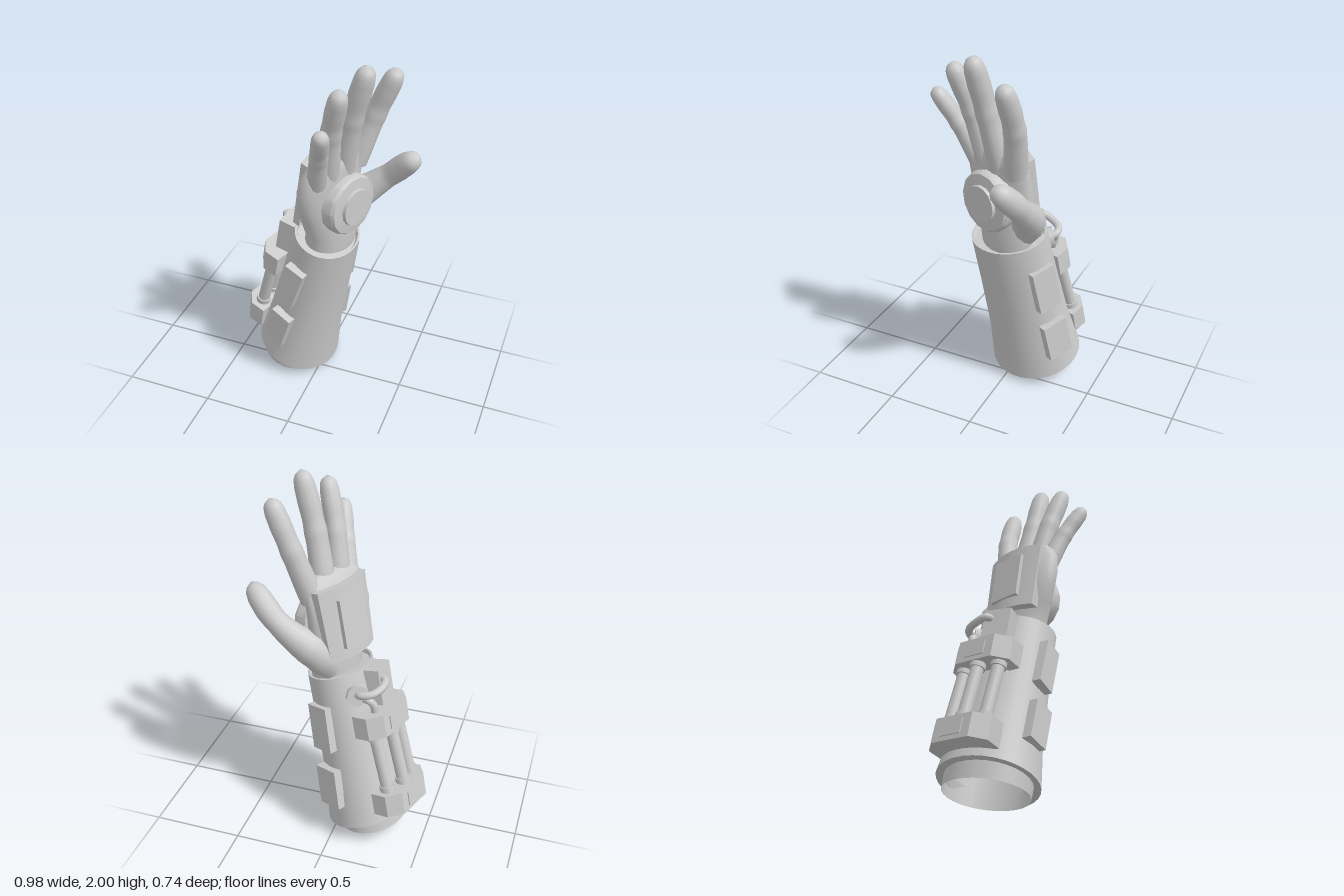
import * as THREE from 'three';
import { mergeVertices, toCreasedNormals } from 'three/addons/utils/BufferGeometryUtils.js';

const V = (x, y, z) => new THREE.Vector3(x, y, z);
const DEG = Math.PI / 180;
const lerp = THREE.MathUtils.lerp;
const smooth = new THREE.MeshStandardMaterial({ color: 0xcccccc });
const open = new THREE.MeshStandardMaterial({ color: 0xcccccc, side: THREE.DoubleSide });

function add(parent, name, geometry, material = smooth) {
  const mesh = new THREE.Mesh(geometry, material);
  mesh.name = name;
  parent.add(mesh);
  return mesh;
}

function group(parent, name) {
  const g = new THREE.Group();
  g.name = name;
  parent.add(g);
  return g;
}

function box(parent, name, w, h, d, z = 0) {
  add(parent, name, new THREE.BoxGeometry(w, h, d)).position.z = z;
}

// Welded geometry with continuous normals
function weld(geometry) {
  geometry.deleteAttribute('uv');
  geometry.deleteAttribute('normal');
  const g = mergeVertices(geometry, 1e-5);
  g.computeVertexNormals();
  return g;
}

// Finger: a tube whose rings are scaled by a list of [t, radius]
function digit(points, radii) {
  const n = 32, sides = 12;
  const curve = new THREE.CatmullRomCurve3(points);
  const geo = new THREE.TubeGeometry(curve, n, 1, sides);
  const pos = geo.attributes.position;
  for (let i = 0; i <= n; i++) {
    const t = i / n, c = curve.getPointAt(t);
    let k = 1;
    while (radii[k][0] < t) k++;
    const [t0, r0] = radii[k - 1], [t1, r1] = radii[k];
    const r = lerp(r0, r1, (t - t0) / (t1 - t0));
    for (let j = 0; j <= sides; j++) {
      const id = i * (sides + 1) + j;
      const p = V().fromBufferAttribute(pos, id).sub(c).multiplyScalar(r).add(c);
      pos.setXYZ(id, p.x, p.y, p.z);
    }
  }
  return weld(geo);
}

// Palm: elliptical sections [y, x, z, halfWidth, halfThickness]
const palmAcross = V(-0.4, 0, 0.92), palmNormal = V(0.92, 0, 0.4);
function palmGeometry(sections) {
  const sides = 24, verts = [], index = [];
  sections.forEach(([y, x, z, w, t], i) => {
    for (let j = 0; j < sides; j++) {
      const a = j / sides * Math.PI * 2;
      verts.push(...V(x, y, z).addScaledVector(palmAcross, w * Math.cos(a))
        .addScaledVector(palmNormal, t * Math.sin(a)).toArray());
      if (i) {
        const b = (i - 1) * sides + j, b2 = (i - 1) * sides + (j + 1) % sides;
        index.push(b, b2, b + sides, b2, b2 + sides, b + sides);
      }
    }
  });
  const geo = new THREE.BufferGeometry();
  geo.setAttribute('position', new THREE.Float32BufferAttribute(verts, 3));
  geo.setIndex(index);
  geo.computeVertexNormals();
  return geo;
}

// Point in forearm space at an angle, height and distance from the axis
const around = (deg, h, r) => V(Math.sin(deg * DEG) * r, h, Math.cos(deg * DEG) * r);

// Group on the forearm whose +z points outward
function mount(parent, name, deg, h, r) {
  const g = group(parent, name);
  g.position.copy(around(deg, h, r));
  g.rotation.set(0, deg * DEG, 0, 'YXZ');
  return g;
}

function hose(parent, name, points) {
  add(parent, name, new THREE.TubeGeometry(new THREE.CatmullRomCurve3(points), 24, 0.021, 10), open);
}

function buildForearm(model) {
  const arm = group(model, 'forearm');
  arm.position.set(-0.165, 0.1, -0.105);
  arm.quaternion.setFromUnitVectors(V(0, 1, 0), V(0.17, 0.87, 0.085).normalize());

  // Shell with slanted ends, narrowing from the back towards the wrist
  const L = 0.89;
  const profile = [[0.19, 0.05], [0.195, 0], [0.238, 0], [0.218, 0.25], [0.213, 0.6], [0.213, L], [0.2, L], [0.19, L - 0.02], [0, L - 0.02]];
  const shell = new THREE.LatheGeometry(profile.map(p => new THREE.Vector2(...p)), 32);
  const pos = shell.attributes.position;
  for (let i = 0; i < pos.count; i++) {
    const t = pos.getY(i) / L;
    pos.setY(i, pos.getY(i) - pos.getX(i) * lerp(0.13, 0.05, t));
    pos.setX(i, pos.getX(i) * lerp(1, 0.82, t) + 0.035 * t);
    pos.setZ(i, pos.getZ(i) * lerp(1.11, 1, t));
  }
  add(arm, 'forearmShell', toCreasedNormals(shell, 0.6), open);

  // Inner sleeve showing below the shell
  const sleeve = add(arm, 'innerSleeve', new THREE.CylinderGeometry(0.195, 0.19, 0.2, 28, 1, true), open);
  sleeve.position.set(-0.01, 0.035, 0.005);
  sleeve.scale.z = 1.18;

  // Side panels
  for (const [deg, h, r, w, tall, roll] of [
    [-14, 0.62, 0.23, 0.12, 0.26, -0.13], [-18, 0.276, 0.246, 0.13, 0.22, -0.1],
    [150, 0.6, 0.23, 0.14, 0.26, 0], [150, 0.24, 0.248, 0.15, 0.23, 0]]) {
    const p = mount(arm, 'sidePanel', deg, h, r);
    p.rotation.x = -0.05;
    p.rotation.z = roll;
    box(p, 'panelPlate', w, tall, 0.05);
  }

  // Canister pack: two chamfered blocks joined by three tubes
  const pack = mount(arm, 'canisterPack', -108, 0, 0);
  const outline = new THREE.Shape([[-0.18, -0.09], [0.18, -0.09], [0.18, 0.0], [0.11, 0.065], [-0.11, 0.065], [-0.18, 0.0]]
    .map(p => new THREE.Vector2(...p)));
  for (const [h, r] of [[0.14, 0.262], [0.607, 0.218]]) {
    const g = group(pack, 'packBlock');
    g.position.set(0, h, r);
    const geo = new THREE.ExtrudeGeometry(outline, { depth: 0.13, bevelEnabled: false });
    add(g, 'blockBody', geo.translate(0, 0, -0.065).rotateX(Math.PI / 2));
    box(g, 'blockPlate', 0.12, 0.08, 0.016, 0.063);
  }
  for (const [x, out] of [[-0.11, -0.015], [0, 0.015], [0.11, -0.015]]) {
    const a = V(x, 0.2, 0.25 + out), b = V(x, 0.55, 0.22 + out);
    const can = group(pack, 'canister');
    can.position.copy(a).lerp(b, 0.5);
    can.quaternion.setFromUnitVectors(V(0, 1, 0), b.clone().sub(a).normalize());
    add(can, 'canisterTube', new THREE.CylinderGeometry(0.034, 0.034, 0.36, 14));
    for (const s of [-1, 1]) {
      add(can, 'canisterCollar', new THREE.CylinderGeometry(0.042, 0.042, 0.035, 10)).position.y = s * 0.155;
    }
  }

  // Wrist box, hose port and hoses
  box(mount(arm, 'wristBox', -97, 0.785, 0.165), 'wristBoxBody', 0.15, 0.2, 0.11);
  const port = mount(arm, 'hosePort', -150, 0.78, 0.196);
  add(port, 'portWasher', new THREE.CylinderGeometry(0.06, 0.06, 0.04, 8).rotateX(Math.PI / 2));
  hose(arm, 'upperHose', [around(-150, 0.785, 0.19), around(-147, 0.79, 0.235), around(-134, 0.79, 0.262),
    around(-118, 0.805, 0.262), around(-109, 0.825, 0.25), around(-106, 0.835, 0.2)]);
  hose(arm, 'lowerHose', [around(-130, 0.65, 0.225), around(-131, 0.71, 0.235), around(-136, 0.745, 0.23), around(-143, 0.755, 0.19)]);
}

function buildHand(model) {
  const hand = group(model, 'hand');
  add(hand, 'palm', palmGeometry([
    [0.88, 0.05, -0.02, 0.155, 0.115], [1.0, 0.064, -0.02, 0.165, 0.117], [1.1, 0.058, -0.01, 0.19, 0.113],
    [1.2, 0.052, 0.005, 0.208, 0.108], [1.3, 0.06, 0.018, 0.217, 0.099], [1.4, 0.08, 0.018, 0.215, 0.084],
    [1.46, 0.097, 0.012, 0.195, 0.065], [1.49, 0.105, 0.01, 0.165, 0.042], [1.5, 0.108, 0.01, 0.01, 0.005]]));

  // Fingers: base, middle and tip points with a size factor
  const fingers = [
    ['indexFinger', V(0.155, 1.38, -0.115), V(0.25, 1.66, -0.15), V(0.358, 1.915, -0.14), 1],
    ['middleFinger', V(0.12, 1.38, -0.02), V(0.185, 1.7, 0.03), V(0.27, 2.0, 0.065), 1.03],
    ['ringFinger', V(0.075, 1.38, 0.08), V(0.115, 1.66, 0.145), V(0.185, 1.925, 0.22), 0.97],
    ['littleFinger', V(0.04, 1.36, 0.15), V(0.085, 1.56, 0.235), V(0.14, 1.76, 0.35), 0.84]];
  for (const [name, a, b, c, s] of fingers) {
    add(hand, name, digit([a, b, c], [[0, 0.064], [0.2, 0.062], [0.42, 0.057], [0.5, 0.059], [0.6, 0.054], [0.74, 0.056],
      [0.88, 0.052], [0.94, 0.044], [0.98, 0.028], [1, 0]].map(([t, r]) => [t, r * s])));
  }
  add(hand, 'thumb', digit([V(0.06, 0.98, -0.11), V(0.12, 1.1, -0.17), V(0.23, 1.195, -0.205), V(0.33, 1.285, -0.21),
    V(0.41, 1.37, -0.185), V(0.48, 1.445, -0.145)],
  [[0, 0.07], [0.15, 0.09], [0.3, 0.092], [0.45, 0.075], [0.62, 0.062], [0.75, 0.065], [0.87, 0.061], [0.94, 0.05], [0.98, 0.03], [1, 0]]));

  // Round emitter on the palm
  const emitter = group(hand, 'palmEmitter');
  emitter.position.set(0.164, 1.205, 0.028);
  emitter.quaternion.setFromUnitVectors(V(0, 1, 0), V(0.92, 0, 0.36).normalize());
  const disc = [[0, -0.03], [0.168, -0.03], [0.168, 0.03], [0.158, 0.048], [0.102, 0.056], [0.1, 0.074], [0, 0.074]];
  add(emitter, 'emitterDisc', toCreasedNormals(
    new THREE.LatheGeometry(disc.map(p => new THREE.Vector2(...p)), 14), 0.5), open);

  // Curved guard on the back of the hand with a raised plate
  const guard = group(hand, 'backGuard');
  const up = V(0.18, 1, 0.06).normalize();
  const side = up.clone().cross(palmNormal.clone().negate()).normalize();
  guard.quaternion.setFromRotationMatrix(new THREE.Matrix4().makeBasis(side, up, side.clone().cross(up)));
  guard.position.set(-0.026, 1.265, -0.045);
  const bent = new THREE.BoxGeometry(0.35, 0.4, 0.045, 6, 1, 1);
  const pos = bent.attributes.position;
  for (let i = 0; i < pos.count; i++) {
    const x = pos.getX(i);
    pos.setZ(i, pos.getZ(i) - 1.4 * x * x);
    pos.setX(i, x * (1 + 0.2 * pos.getY(i)));
  }
  add(guard, 'guardShell', toCreasedNormals(bent, 0.4));
  box(guard, 'guardPlate', 0.18, 0.27, 0.03, 0.018);
}

export function createModel() {
  const model = new THREE.Group();
  model.name = 'gauntletArm';
  buildForearm(model);
  buildHand(model);
  return model;
}
